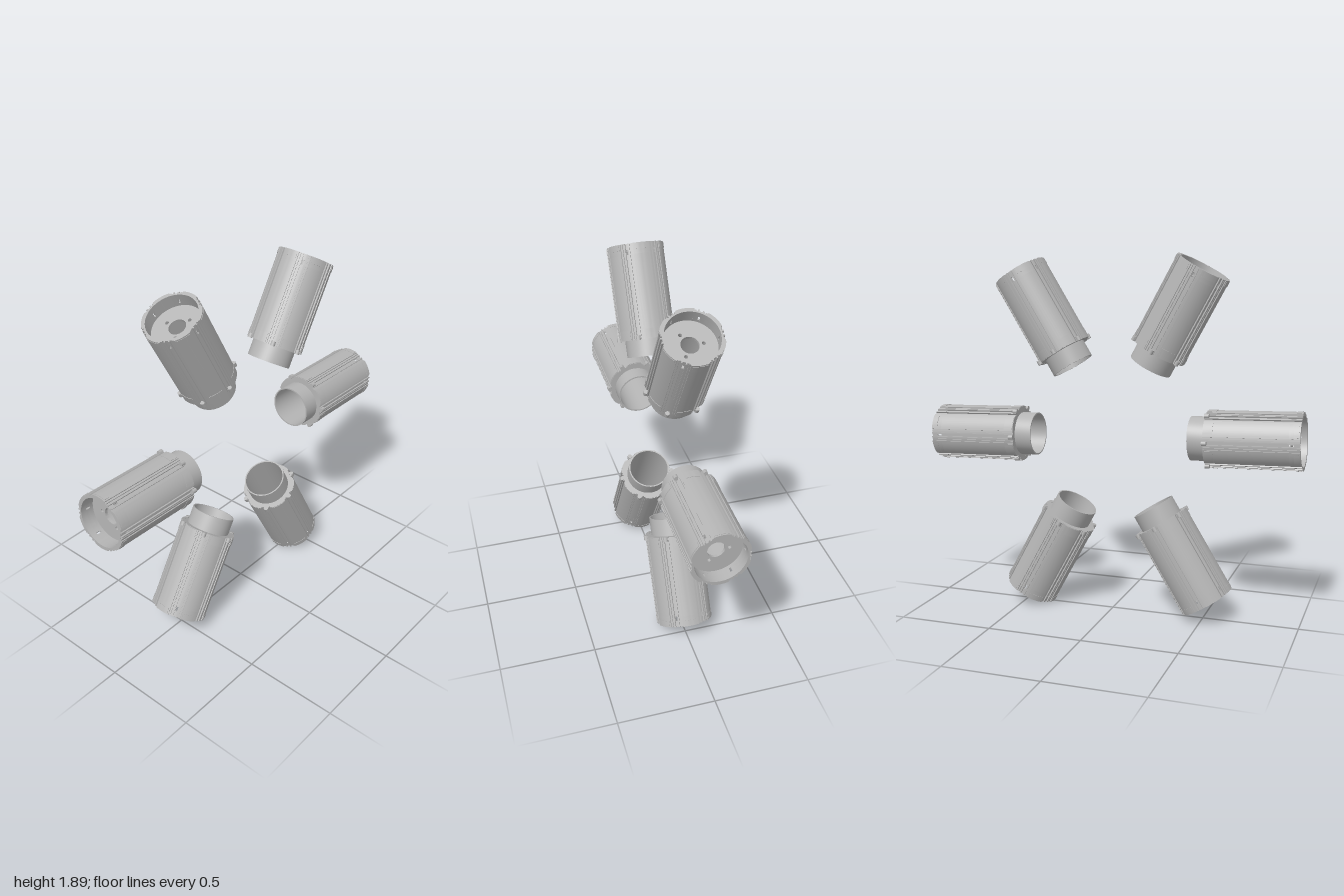
import * as THREE from 'three';
import { toCreasedNormals } from 'three/addons/utils/BufferGeometryUtils.js';

const RAD = Math.PI / 180;
const BORE = 0.128;
const polar = (r, deg) => new THREE.Vector2(r * Math.cos(deg * RAD), r * Math.sin(deg * RAD));

// Ribbed outline of one 60 degree sector: groove, rib, groove, step, panel and back
const STEPS = [[0, 3, 0.137], [3, 6, 0.145], [6, 9, 0.137], [9, 13, 0.142], [13, 47, 0.147],
  [47, 51, 0.142], [51, 54, 0.137], [54, 57, 0.145], [57, 60, 0.137]];

function sectorOutline(start, from = 0, to = 60) {
  const pts = [];
  for (const [a, b, r] of STEPS) {
    const lo = Math.max(a, from), hi = Math.min(b, to);
    if (hi <= lo) continue;
    const n = Math.max(1, Math.round((hi - lo) / 5));
    for (let i = 0; i <= n; i++) pts.push(polar(r, start + lo + (hi - lo) * i / n));
  }
  return pts;
}

function extrude(shape, z0, z1) {
  const g = new THREE.ExtrudeGeometry(shape, { depth: z1 - z0, bevelEnabled: false, curveSegments: 36 });
  g.translate(0, 0, z0);
  return toCreasedNormals(g, 0.35);
}

function circleHole(x, y, r) {
  return new THREE.Path().absarc(x, y, r, 0, Math.PI * 2, true);
}

// Closed ribbed ring
function ribbedRing() {
  const pts = [];
  for (let k = 0; k < 6; k++) {
    const sector = sectorOutline(k * 60);
    pts.push(...sector.slice(0, -1));
  }
  const shape = new THREE.Shape(pts);
  shape.holes.push(circleHole(0, 0, BORE));
  return shape;
}

// Arc-shaped plate between two radii
function arcPlate(outer, r, a0, a1) {
  const pts = [...outer];
  for (let i = 0; i <= 12; i++) pts.push(polar(r, a1 + (a0 - a1) * i / 12));
  return new THREE.Shape(pts);
}

function arc(r, a0, a1) {
  return Array.from({ length: 9 }, (_, i) => polar(r, a0 + (a1 - a0) * i / 8));
}

export function createModel() {
  const model = new THREE.Group();
  model.name = 'radialCylinders';
  const metal = new THREE.MeshStandardMaterial({ color: 0xb4b4b4 });
  metal.name = 'grey metal';

  const parts = [];
  const add = (name, geometry) => parts.push([name, geometry]);

  // Outer sleeve, with a slotted band near the open end
  const ring = ribbedRing();
  add('sleeve', extrude(ring, 0.515, 0.942));
  add('sleeveRim', extrude(ring, 0.966, 0.997));
  for (let k = 0; k < 6; k++) {
    const a = k * 60;
    add('slottedBand', extrude(arcPlate(sectorOutline(a, 2, 58), BORE, a + 2, a + 58), 0.942, 0.966));
    // Thin pads at both ends of each panel
    const pad = arcPlate(arc(0.149, a + 16, a + 44), 0.1465, a + 16, a + 44);
    add('panelPad', extrude(pad, 0.518, 0.565));
    add('panelPad', extrude(pad, 0.965, 0.99));
    // Locating lug at the inner end of each groove
    const lug = new THREE.CylinderGeometry(0.012, 0.012, 0.024, 12);
    lug.rotateX(Math.PI / 2);
    const p = polar(0.147, a);
    lug.translate(p.x, p.y, 0.524);
    add('lug', lug);
  }

  // Thin hollow liner that sticks out as a collar, with a shoulder closing the sleeve
  const liner = [[0.107, 0.912], [0.107, 0.427], [0.114, 0.427], [0.114, 0.516], [0.13, 0.516],
    [0.13, 0.522], [0.114, 0.522], [0.114, 0.912], [0.107, 0.912]].map(([r, z]) => new THREE.Vector2(r, z));
  const linerGeometry = new THREE.LatheGeometry(liner.reverse(), 48);
  linerGeometry.rotateX(Math.PI / 2);
  // Keep the profile winding facing outwards
  const index = linerGeometry.index;
  for (let i = 0; i < index.count; i += 3) {
    const a = index.getX(i);
    index.setX(i, index.getX(i + 1));
    index.setX(i + 1, a);
  }
  linerGeometry.computeVertexNormals();
  add('collar', toCreasedNormals(linerGeometry, 0.5));

  // Recessed end plate with a bore and three bolt holes
  const plate = new THREE.Shape().absarc(0, 0, 0.129, 0, Math.PI * 2, false);
  plate.holes.push(circleHole(0, 0, 0.043));
  for (const a of [60, 180, 300]) {
    const p = polar(0.064, a);
    plate.holes.push(circleHole(p.x, p.y, 0.009));
  }
  add('endPlate', extrude(plate, 0.91, 0.925));

  // Six cylinders around the x axis
  for (let k = 0; k < 6; k++) {
    const cylinder = new THREE.Group();
    cylinder.name = 'cylinder';
    for (const [name, geometry] of parts) {
      const mesh = new THREE.Mesh(geometry, metal);
      mesh.name = name;
      cylinder.add(mesh);
    }
    cylinder.position.y = 0.946;
    cylinder.rotation.x = -(1.5 + 60 * k) * RAD;
    model.add(cylinder);
  }
  return model;
}
